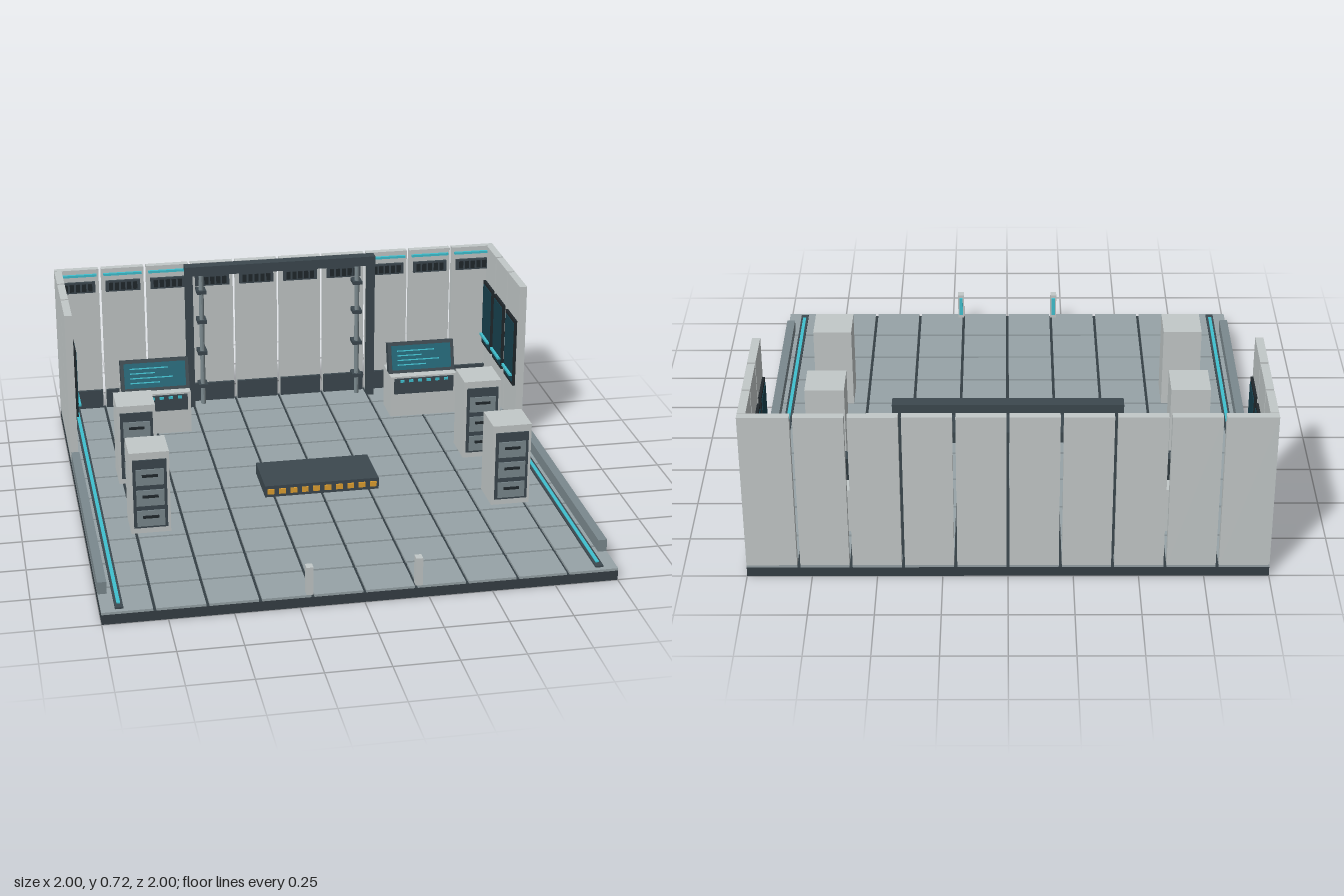
import * as THREE from 'three';

const COLORS = {
  light: 0xc2c8c8, tile: 0x97a3a7, rail: 0x7b898e, dark: 0x3c484f, base: 0x353f45,
  black: 0x20272b, cyan: 0x3fc0cf, screen: 0x17414e, glass: 0x1f6475, amber: 0xe0a030,
};
const MATS = {};
for (const key in COLORS) MATS[key] = new THREE.MeshStandardMaterial({ color: COLORS[key], flatShading: true });

// Box given by its low and high corners
function box(parent, name, mat, [x0, x1], [y0, y1], [z0, z1]) {
  const mesh = new THREE.Mesh(new THREE.BoxGeometry(x1 - x0, y1 - y0, z1 - z0), MATS[mat]);
  mesh.position.set((x0 + x1) / 2, (y0 + y1) / 2, (z0 + z1) / 2);
  mesh.name = name;
  parent.add(mesh);
  return mesh;
}
function group(parent, name, x = 0, y = 0, z = 0) {
  const g = new THREE.Group();
  g.name = name;
  g.position.set(x, y, z);
  parent.add(g);
  return g;
}
const around = (c, half) => [c - half, c + half];
const GAP = 0.006, FLOOR = 0.05, WALL = 0.71;

function addFloor(room) {
  const floor = group(room, 'floor');
  box(floor, 'floorBase', 'base', [-1, 1], [0, 0.04], [-1, 1]);
  for (let i = 0; i < 10; i++) for (let j = 0; j < 10; j++) {
    const x = -1 + 0.2 * i, z = -1 + 0.2 * j;
    // Outer tiles run to the edge of the base
    box(floor, 'floorTile', 'tile',
      [i ? x + GAP : -1, i < 9 ? x + 0.2 - GAP : 1], [0.04, FLOOR],
      [j ? z + GAP : -1, j < 9 ? z + 0.2 - GAP : 1]);
  }
}

function addBackWall(room) {
  const wall = group(room, 'backWall');
  for (let i = 0; i < 10; i++) {
    const c = -0.9 + 0.2 * i;
    box(wall, 'wallPanel', 'light', [i ? c - 0.1 + GAP : -1, i < 9 ? c + 0.1 - GAP : 1], [FLOOR, WALL], [-1, -0.968]);
    box(wall, 'baseboard', 'dark', around(c, 0.092), [FLOOR, 0.135], [-0.968, -0.955]);
    box(wall, 'lightStrip', 'cyan', around(c, 0.085), [0.68, 0.69], [-0.968, -0.955]);
    box(wall, 'vent', 'dark', around(c, 0.077), [0.605, 0.655], [-0.968, -0.956]);
    for (let k = -2; k <= 2; k++)
      box(wall, 'ventSlot', 'black', around(c + k * 0.027, 0.009), [0.613, 0.647], [-0.956, -0.951]);
  }
}

function addSide(room, s) {
  // Mirrored group: s = 1 is the left side, s = -1 turns the x ranges round
  const side = group(room, s > 0 ? 'leftSide' : 'rightSide');
  const mx = (a, b) => (s > 0 ? [a, b] : [-b, -a]);
  for (let i = 0; i < 3; i++) {
    const z = -1 + 0.2 * i;
    box(side, 'sidePanel', 'light', mx(0.968, 1), [FLOOR, WALL],
      [i ? z + GAP : -0.966, i < 2 ? z + 0.2 - GAP : -0.4]);
    const zc = i ? z + 0.1 : -0.89;
    box(side, 'wallScreenFrame', 'black', mx(0.957, 0.968), [0.24, 0.545], around(zc, 0.078));
    box(side, 'wallScreen', 'screen', mx(0.954, 0.957), [0.255, 0.53], around(zc, 0.066));
    box(side, 'wallScreenLight', 'cyan', mx(0.943, 0.957), [0.282, 0.292], around(zc, 0.066));
  }
  box(side, 'sideRail', 'rail', mx(0.965, 1), [FLOOR, 0.1], [-0.37, 0.85]);
  box(side, 'floorChannel', 'dark', mx(0.915, 0.947), [FLOOR, 0.057], [-0.96, 0.98]);
  box(side, 'floorLight', 'cyan', mx(0.924, 0.938), [0.057, 0.061], [-0.95, 0.95]);
  // Entrance post with a light facing into the room
  box(side, 'entrancePost', 'light', mx(0.198, 0.225), [FLOOR, 0.165], [0.965, 1]);
  box(side, 'entrancePostLight', 'cyan', mx(0.204, 0.219), [0.07, 0.153], [0.956, 0.965]);
}

function addGantry(room) {
  const gantry = group(room, 'gantry');
  box(gantry, 'gantryBeam', 'dark', [-0.43, 0.43], [0.68, 0.722], [-0.93, -0.88]);
  for (const s of [-1, 1]) {
    box(gantry, 'gantryPost', 'dark', around(s * 0.413, 0.016), [FLOOR, 0.68], [-0.93, -0.885]);
    const pipe = new THREE.Mesh(new THREE.CylinderGeometry(0.011, 0.011, 0.63, 12), MATS.rail);
    pipe.name = 'pipe';
    pipe.position.set(s * 0.355, 0.365, -0.925);
    gantry.add(pipe);
    for (const y of [0.14, 0.3, 0.45, 0.59])
      box(gantry, 'pipeClamp', 'dark', around(s * 0.355, 0.021), around(y, 0.008), [-0.968, -0.906]);
  }
}

function addConsole(room, x) {
  const desk = group(room, 'console', x, 0, -0.69);
  box(desk, 'consoleBody', 'light', [-0.15, 0.15], [FLOOR, 0.24], [-0.08, 0.075]);
  box(desk, 'controlPanel', 'dark', [-0.135, 0.135], [0.16, 0.232], [0.075, 0.083]);
  for (let i = 0; i < 6; i++)
    box(desk, 'button', 'cyan', around(-0.1 + i * 0.04, 0.009), [0.217, 0.228], [0.083, 0.09]);
  // Screen leaning back
  const screen = group(desk, 'consoleScreen', 0, 0.238, 0.025);
  screen.rotation.x = -0.3;
  box(screen, 'screenFrame', 'dark', [-0.15, 0.15], [0, 0.138], [-0.03, 0.012]);
  box(screen, 'screenGlass', 'glass', [-0.135, 0.135], [0.014, 0.124], [0.012, 0.016]);
  [0.17, 0.11, 0.19, 0.13].forEach((w, i) =>
    box(screen, 'readout', 'cyan', [-0.11, -0.11 + w], around(0.1 - i * 0.021, 0.0025), [0.016, 0.018]));
}

function addCabinet(room, x, z) {
  const cab = group(room, 'cabinet', x, 0, z);
  box(cab, 'cabinetBody', 'light', [-0.08, 0.08], [FLOOR, 0.4], [-0.08, 0.08]);
  box(cab, 'cabinetFront', 'dark', [-0.068, 0.068], [0.075, 0.37], [0.08, 0.086]);
  for (const y of [0.118, 0.207, 0.297]) {
    box(cab, 'drawer', 'rail', [-0.056, 0.056], around(y, 0.034), [0.086, 0.091]);
    box(cab, 'drawerHandle', 'black', [-0.032, 0.032], around(y + 0.008, 0.005), [0.091, 0.098]);
  }
}

function addPlatform(room) {
  const platform = group(room, 'platform');
  box(platform, 'platformSlab', 'dark', [-0.24, 0.24], [FLOOR, 0.1], [-0.12, 0.12]);
  for (let i = 0; i < 10; i++)
    box(platform, 'warningBlock', 'amber', around(-0.216 + i * 0.048, 0.014), [0.064, 0.086], [0.12, 0.126]);
}

export function createModel() {
  const room = new THREE.Group();
  room.name = 'controlRoom';
  addFloor(room);
  addBackWall(room);
  addGantry(room);
  addPlatform(room);
  for (const s of [-1, 1]) {
    addSide(room, s);
    addConsole(room, s * 0.6);
    addCabinet(room, s * 0.74, -0.2);
    addCabinet(room, s * 0.74, 0.28);
  }
  return room;
}
